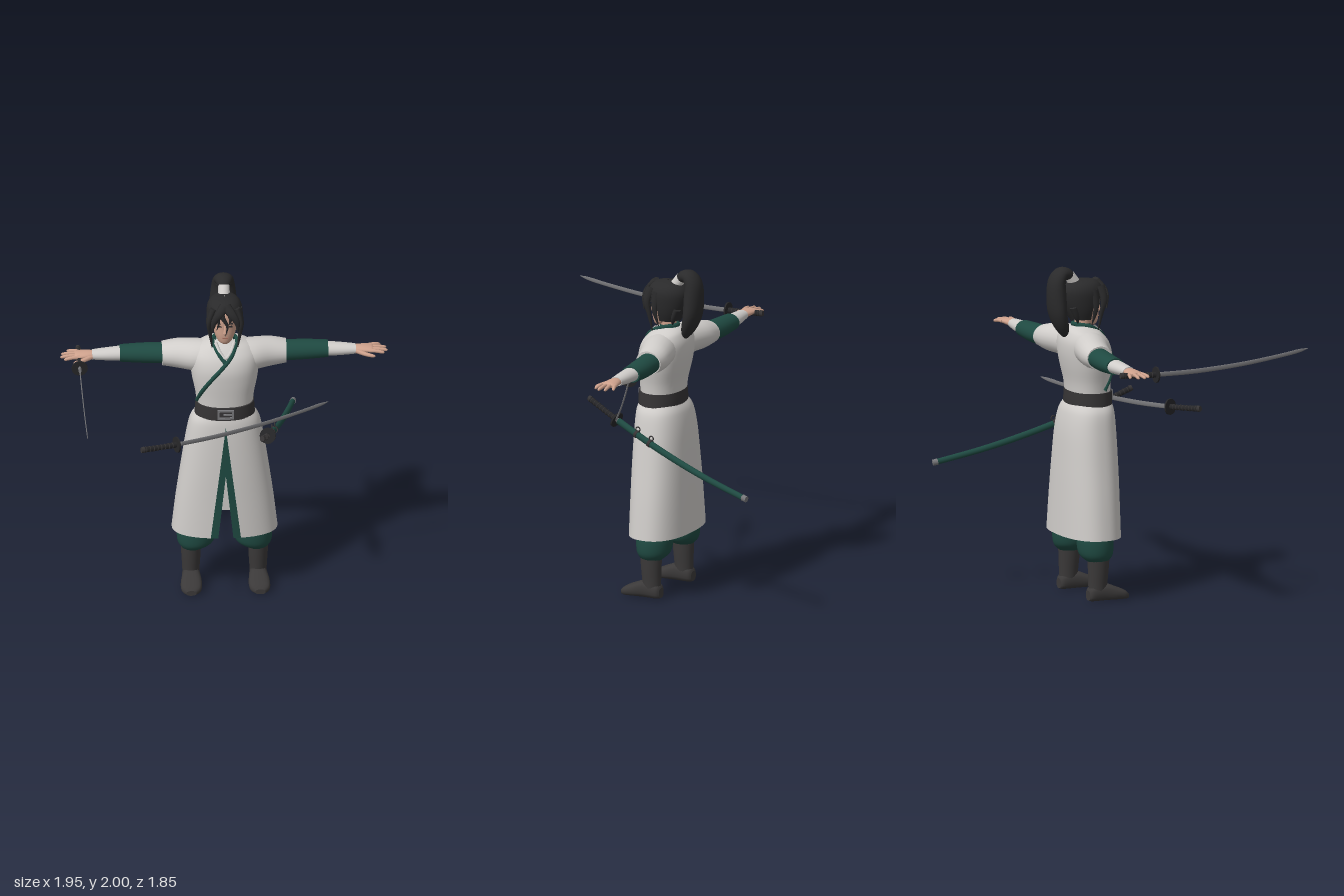
import * as THREE from 'three';

const mat = (name, color, side = THREE.FrontSide) => {
  const m = new THREE.MeshStandardMaterial({ color, side });
  m.name = name;
  return m;
};
const V3 = (x, y, z) => new THREE.Vector3(x, y, z);
const X = V3(1, 0, 0), Y = V3(0, 1, 0), Z = V3(0, 0, 1);

// Smoothly subdivides rows of numbers
function spline(rows, sub) {
  const out = [], at = i => rows[Math.max(0, Math.min(rows.length - 1, i))];
  for (let i = 0; i < rows.length - 1; i++) for (let k = 0; k < sub; k++) {
    const t = k / sub;
    out.push(rows[i].map((b, c) => {
      const a = at(i - 1)[c], d = at(i + 1)[c], e = at(i + 2)[c];
      return 0.5 * (2 * b + (d - a) * t + (2 * a - 5 * b + 4 * d - e) * t * t + (3 * b - a - 3 * d + e) * t ** 3);
    }));
  }
  out.push(rows[rows.length - 1]);
  return out;
}

// Skins sections [x, y, z, ru, rv]; rv lies along ref, ru across it; arc leaves the ring open
function sweep(secs, { ref = X, dir, n = 20, sub = 4, pow = 2, arc } = {}) {
  const rows = spline(secs, sub), pos = [], idx = [];
  const pw = v => Math.sign(v) * Math.abs(v) ** (2 / pow);
  const cols = arc ? n + 1 : n, P = rows.map(r => V3(r[0], r[1], r[2]));
  rows.forEach((r, i) => {
    const T = dir || P[Math.min(i + 1, P.length - 1)].clone().sub(P[Math.max(i - 1, 0)]).normalize();
    const U = ref.clone().cross(T).normalize(), V = T.clone().cross(U);
    const [a0, a1] = arc ? arc(r) : [0, Math.PI * 2];
    for (let j = 0; j < cols; j++) {
      const t = a0 + (a1 - a0) * j / n;
      const p = P[i].clone().addScaledVector(U, Math.max(r[3], 0.0005) * pw(Math.cos(t)))
        .addScaledVector(V, Math.max(r[4], 0.0005) * pw(Math.sin(t)));
      pos.push(p.x, p.y, p.z);
    }
  });
  for (let i = 0; i < rows.length - 1; i++) for (let j = 0; j < n; j++) {
    const a = i * cols + j, b = i * cols + (j + 1) % cols;
    idx.push(a, b, b + cols, a, b + cols, a + cols);
  }
  // End caps on closed rings
  if (!arc) for (const i of [0, rows.length - 1]) {
    const base = pos.length / 3;
    pos.push(...pos.slice(i * n * 3, (i + 1) * n * 3), P[i].x, P[i].y, P[i].z);
    for (let j = 0; j < n; j++) {
      const a = base + j, b = base + (j + 1) % n;
      idx.push(base + n, i ? a : b, i ? b : a);
    }
  }
  const g = new THREE.BufferGeometry();
  g.setAttribute('position', new THREE.Float32BufferAttribute(pos, 3));
  g.setIndex(idx);
  g.computeVertexNormals();
  return g;
}

// Upright section from height, half width, front z and back z
const level = (y, rx, zf, zb) => [0, y, (zf + zb) / 2, (zf - zb) / 2, rx];

export function createModel() {
  const root = new THREE.Group();
  root.name = 'swordsman';
  const white = mat('white cloth', 0xd0cdca, THREE.DoubleSide), green = mat('green cloth', 0x1f4a42, THREE.DoubleSide);
  const skin = mat('skin', 0xcfa28d), hair = mat('black hair', 0x2a2a2b, THREE.DoubleSide);
  const leather = mat('boot leather', 0x3b3939), beltDark = mat('belt leather', 0x363435);
  const steel = mat('steel', 0x77777a), grip = mat('grip wrap', 0x262628), lip = mat('lips', 0xa8705f);
  const add = (name, geo, m, parent = root) => {
    const o = new THREE.Mesh(geo, m);
    o.name = name;
    parent.add(o);
    return o;
  };
  const box = (name, w, h, d, x, y, z, m) => add(name, new THREE.BoxGeometry(w, h, d), m).position.set(x, y, z);
  const tube = (name, pts, r, m) => add(name, new THREE.TubeGeometry(new THREE.CatmullRomCurve3(pts), 48, r, 8), m);

  // Upper robe
  const torso = [level(1.2, 0.165, 0, -0.24), level(1.3, 0.175, 0.005, -0.25), level(1.4, 0.195, 0.01, -0.272),
    level(1.48, 0.203, 0.008, -0.285), level(1.55, 0.2, -0.015, -0.285), level(1.6, 0.165, -0.055, -0.268),
    level(1.625, 0.11, -0.085, -0.25), level(1.64, 0.07, -0.1, -0.225)];
  add('robeTop', sweep(torso, { dir: Y, n: 40, pow: 2.2 }), white);
  const rows = spline(torso, 4);
  const onChest = (x, y) => {
    const i = Math.max(1, rows.findIndex(r => r[1] >= y)), a = rows[i - 1], b = rows[i];
    const t = (y - a[1]) / (b[1] - a[1]), [, , zc, rz, rx] = a.map((v, k) => v + (b[k] - v) * t);
    return V3(x, y, zc + rz * Math.max(0, 1 - (Math.abs(x) / rx) ** 2.2) ** (1 / 2.2) - 0.002);
  };
  // Crossed lapels and collar
  const lapel = [[-0.165, 1.26], [-0.135, 1.35], [-0.08, 1.44], [-0.02, 1.51], [0.03, 1.565]].map(p => onChest(...p));
  tube('longLapel', [...lapel, V3(0.062, 1.615, -0.085), V3(0.072, 1.64, -0.14), V3(0, 1.65, -0.215),
    V3(-0.072, 1.64, -0.14), V3(-0.06, 1.61, -0.085), onChest(-0.03, 1.575), onChest(0, 1.54)], 0.013, green);
  tube('innerCollar', [V3(0.055, 1.635, -0.1), onChest(0.03, 1.59), onChest(0, 1.565), onChest(-0.03, 1.59),
    V3(-0.055, 1.635, -0.1)], 0.011, white);
  add('standingCollar', sweep([level(1.6, 0.078, -0.1, -0.235), level(1.655, 0.062, -0.1, -0.215)],
    { dir: Y, arc: () => [0.9, Math.PI * 2 - 0.9] }), green);

  // Skirt, split at the front with green trim
  const skirt = [level(0.38, 0.315, 0.032, -0.32), level(0.6, 0.29, 0.031, -0.313), level(0.8, 0.262, 0.03, -0.305),
    level(1.0, 0.232, 0.025, -0.293), level(1.12, 0.207, 0.018, -0.272), level(1.175, 0.172, 0.008, -0.245)];
  const ang = (r, x) => Math.asin((Math.max(0, x) / r[4]) ** 1.2);
  const outer = r => ang(r, 0.09 * (1.12 - r[1]) / 0.74), inner = r => ang(r, 0.045 * (0.8 - r[1]) / 0.42);
  const cloth = (name, arc, n, m) => add(name, sweep(skirt, { dir: Y, n, sub: 8, pow: 2.4, arc }), m);
  cloth('skirt', r => [outer(r), Math.PI * 2 - outer(r)], 64, white);
  cloth('skirtTrimLeft', r => [inner(r), outer(r)], 3, green);
  cloth('skirtTrimRight', r => [-outer(r), -inner(r)], 3, green);

  // Belt and buckle
  add('belt', sweep([level(1.165, 0.18, 0.014, -0.25), level(1.205, 0.177, 0.014, -0.249), level(1.247, 0.174, 0.012, -0.246)],
    { dir: Y, n: 40, pow: 2.2 }), beltDark);
  const frame = new THREE.Shape([[-0.05, -0.03], [0.05, -0.03], [0.05, 0.03], [-0.05, 0.03]].map(p => new THREE.Vector2(...p)));
  frame.holes.push(new THREE.Path([[-0.037, -0.019], [-0.037, 0.019], [0.037, 0.019], [0.037, -0.019]].map(p => new THREE.Vector2(...p))));
  add('buckle', new THREE.ExtrudeGeometry(frame, { depth: 0.012, bevelEnabled: false }), steel).position.set(0, 1.208, 0.012);
  box('buckleTongue', 0.05, 0.008, 0.01, 0.012, 1.208, 0.018, steel);

  // Arms, hands and legs
  for (const s of [1, -1]) {
    const side = s > 0 ? 'left' : 'right';
    const limb = (name, secs, m, opt = {}) => add(side + name, sweep(secs.map(([x, ...r]) => [x * s, ...r]), opt), m);
    const along = { ref: Z, dir: V3(s, 0, 0), n: 24 };
    limb('Sleeve', [[0.08, 1.52, -0.155, 0.1, 0.1], [0.18, 1.52, -0.175, 0.095, 0.108], [0.28, 1.516, -0.205, 0.086, 0.097],
      [0.37, 1.51, -0.217, 0.07, 0.083]], white, along);
    limb('UnderSleeve', [[0.34, 1.51, -0.22, 0.06, 0.072], [0.48, 1.507, -0.232, 0.059, 0.068], [0.62, 1.507, -0.235, 0.05, 0.06]], green, along);
    limb('ForearmWrap', [[0.6, 1.507, -0.235, 0.043, 0.054], [0.7, 1.506, -0.23, 0.037, 0.047], [0.785, 1.506, -0.226, 0.029, 0.038]], white, along);
    limb('Palm', [[0.77, 1.506, -0.226, 0.023, 0.032], [0.82, 1.508, -0.226, 0.022, 0.042], [0.875, 1.508, -0.226, 0.016, 0.046],
      [0.89, 1.508, -0.226, 0.008, 0.04]], skin, along);
    [[-0.264, 0.935, -0.284], [-0.239, 0.968, -0.246], [-0.213, 0.975, -0.208], [-0.189, 0.955, -0.177]].forEach(([z, x, z2], i) =>
      limb('Finger' + (i + 1), [[0.86, 1.508, z, 0.011, 0.012], [(x + 0.86) / 2, 1.508, (z + z2) / 2, 0.011, 0.011],
        [x - 0.01, 1.502, z2, 0.009, 0.009], [x, 1.501, z2, 0.002, 0.002]], skin, { ref: Z, n: 8 }));
    limb('Thumb', [[0.79, 1.503, -0.2, 0.015, 0.015], [0.84, 1.497, -0.168, 0.013, 0.013], [0.885, 1.493, -0.151, 0.01, 0.01],
      [0.9, 1.492, -0.148, 0.002, 0.002]], skin, { ref: Z, n: 8 });
    limb('Trouser', [[0.195, 0.24, -0.145, 0.065, 0.06], [0.175, 0.275, -0.148, 0.098, 0.104], [0.168, 0.33, -0.15, 0.108, 0.116],
      [0.165, 0.4, -0.15, 0.105, 0.11], [0.14, 0.6, -0.14, 0.09, 0.1], [0.1, 0.95, -0.13, 0.09, 0.09]], green, { dir: Y, n: 24 });
    limb('BootShaft', [[0.2, 0.03, -0.15, 0.055, 0.05], [0.2, 0.1, -0.148, 0.058, 0.052], [0.2, 0.18, -0.145, 0.063, 0.057],
      [0.2, 0.265, -0.143, 0.068, 0.06]], leather, { dir: Y });
    limb('BootFoot', [[0.2, 0.035, -0.212, 0.03, 0.03], [0.2, 0.045, -0.19, 0.045, 0.048], [0.2, 0.052, -0.11, 0.052, 0.055],
      [0.202, 0.04, -0.04, 0.04, 0.064], [0.204, 0.028, 0.015, 0.028, 0.058], [0.205, 0.018, 0.043, 0.016, 0.03]], leather, { dir: Z, pow: 2.6 });
    // Face details and side hair
    add(side + 'Ear', new THREE.SphereGeometry(0.022, 12, 8).scale(0.5, 1.2, 0.8), skin).position.set(s * 0.078, 1.745, -0.145);
    box(side + 'Eye', 0.022, 0.007, 0.008, s * 0.031, 1.765, -0.058, grip);
    box(side + 'Brow', 0.03, 0.005, 0.008, s * 0.032, 1.784, -0.058, hair);
    const lock = (name, ...pts) => limb(name, pts, hair, { n: 8 });
    lock('SideLock', [0.07, 1.88, -0.07, 0.03, 0.02], [0.097, 1.8, -0.055, 0.022, 0.014], [0.09, 1.72, -0.07, 0.014, 0.012], [0.076, 1.61, -0.085, 0.003, 0.003]);
    lock('EarLock', [0.085, 1.86, -0.12, 0.03, 0.02], [0.101, 1.78, -0.11, 0.02, 0.01], [0.096, 1.72, -0.115, 0.014, 0.009], [0.082, 1.65, -0.13, 0.002, 0.002]);
    lock('Fringe', [0.005, 1.9, -0.06, 0.02, 0.03], [0.038, 1.86, -0.03, 0.014, 0.026], [0.068, 1.81, -0.025, 0.012, 0.018], [0.078, 1.74, -0.03, 0.002, 0.003]);
    lock('NapeLock', [0.05, 1.76, -0.24, 0.02, 0.035], [0.05, 1.7, -0.215, 0.015, 0.025], [0.035, 1.655, -0.2, 0.002, 0.004]);
  }

  // Neck and head
  add('neck', sweep([level(1.56, 0.06, -0.1, -0.21), level(1.62, 0.047, -0.105, -0.2), level(1.7, 0.047, -0.1, -0.2)], { dir: Y }), skin);
  add('head', sweep([level(1.637, 0.018, -0.075, -0.115), level(1.655, 0.042, -0.06, -0.15), level(1.7, 0.064, -0.052, -0.2),
    level(1.75, 0.073, -0.051, -0.23), level(1.8, 0.078, -0.048, -0.245), level(1.85, 0.074, -0.055, -0.24),
    level(1.89, 0.05, -0.09, -0.21)], { dir: Y, n: 28 }), skin);
  add('nose', sweep([[0, 1.775, -0.056, 0.008, 0.008], [0, 1.74, -0.048, 0.011, 0.01], [0, 1.722, -0.047, 0.012, 0.014],
    [0, 1.713, -0.053, 0.004, 0.006]], { n: 10 }), skin);
  box('mouth', 0.032, 0.007, 0.008, 0, 1.688, -0.055, lip);

  // Hair cap, forehead strands and ponytail
  add('hairCap', sweep([level(1.68, 0.075, -0.07, -0.225), level(1.73, 0.092, -0.05, -0.25), level(1.79, 0.103, -0.03, -0.272),
    level(1.85, 0.105, -0.025, -0.28), level(1.89, 0.088, -0.045, -0.262), level(1.912, 0.055, -0.08, -0.225),
    level(1.922, 0.004, -0.145, -0.155)], { dir: Y, n: 36, arc: r => {
    const open = 1.35 * Math.min(1, Math.max(0, (1.875 - r[1]) / 0.1));
    return [open, Math.PI * 2 - open];
  } }), hair);
  [[-0.02, 0.012, 1.71], [0.03, 0.03, 1.78], [-0.045, -0.04, 1.75]].forEach(([x, x2, y], i) =>
    add('strand' + (i + 1), sweep([[x * 0.4, 1.895, -0.06, 0.012, 0.02], [x, 1.85, -0.03, 0.01, 0.016],
      [x2, (1.85 + y) / 2, -0.03, 0.005, 0.008], [x2 - 0.012, y, -0.038, 0.001, 0.001]], { n: 8 }), hair));
  add('hairTie', sweep([[0, 1.89, -0.2, 0.036, 0.036], [0, 1.948, -0.24, 0.033, 0.034]], { sub: 1 }), white);
  add('ponytail', sweep([[0, 1.935, -0.23, 0.03, 0.03], [0, 1.957, -0.258, 0.036, 0.046], [0, 1.957, -0.295, 0.042, 0.06],
    [0, 1.91, -0.322, 0.05, 0.07], [0, 1.82, -0.324, 0.055, 0.08], [0, 1.72, -0.315, 0.05, 0.084],
    [0, 1.63, -0.285, 0.036, 0.06], [0, 1.555, -0.252, 0.004, 0.008]], { n: 24, sub: 5 }), hair);

  // Curved sword from pommel to tip, drawn or in its scabbard
  function sword(name, start, end, sheathed) {
    const g = new THREE.Group();
    g.name = name;
    root.add(g);
    const L = start.distanceTo(end), dir = end.clone().sub(start).normalize();
    const right = dir.clone().cross(Y).normalize(), up = right.clone().cross(dir);
    const at = s => start.clone().addScaledVector(dir, s).addScaledVector(up, -0.16 * (s / L) * (1 - s / L));
    const part = (n, secs, m, opt = {}) => add(n, sweep(secs.map(([s, ru, rv]) => [...at(s).toArray(), ru, rv]), { ref: right, n: 12, ...opt }), m, g);
    const ring = (n, s, geo, m, axis) => {
      const o = add(n, geo, m, g);
      o.position.copy(at(s));
      o.quaternion.setFromUnitVectors(axis, at(s + 0.01).sub(at(s - 0.01)).normalize());
    };
    part('grip', [[0.01, 0.018, 0.015], [0.08, 0.017, 0.014], [0.15, 0.016, 0.014], [0.23, 0.018, 0.015]], grip);
    for (let i = 0; i < 8; i++) ring('gripWrap', 0.03 + i * 0.025, new THREE.TorusGeometry(0.0155, 0.003, 6, 16), beltDark, Z);
    part('pommel', [[0, 0.017, 0.014], [0.018, 0.02, 0.017]], beltDark, { sub: 1 });
    ring('guard', 0.235, new THREE.CylinderGeometry(0.048, 0.048, 0.01, 28), grip, Y);
    part('collar', [[0.238, 0.017, 0.01], [0.265, 0.016, 0.009]], steel, { sub: 1 });
    if (sheathed) {
      part('scabbard', [[0.25, 0.021, 0.018], [0.5, 0.02, 0.017], [0.75, 0.02, 0.017], [1.0, 0.019, 0.017], [L - 0.015, 0.018, 0.016]], green);
      part('scabbardTip', [[L - 0.03, 0.02, 0.018], [L, 0.019, 0.017]], steel, { sub: 1 });
      for (const s of [0.4, 0.51]) {
        ring('hangerBand', s, new THREE.CylinderGeometry(0.023, 0.023, 0.018, 16), beltDark, Y);
        const loop = add('hangerLoop', new THREE.TorusGeometry(0.014, 0.004, 6, 16).rotateY(Math.PI / 2), beltDark, g);
        loop.position.copy(at(s)).addScaledVector(up, 0.034);
      }
    } else part('blade', [[0.24, 0.014, 0.0035], [0.5, 0.0145, 0.0035], [0.8, 0.0135, 0.003], [1.05, 0.012, 0.003],
      [L - 0.06, 0.011, 0.0025], [L, 0.001, 0.001]], steel, { n: 8 });
  }
  sword('heldSword', V3(-0.865, 1.505, -0.32), V3(-0.865, 1.56, 0.92));
  sword('floatingSword', V3(-0.52, 1.177, 0.375), V3(0.62, 1.203, -0.13));
  sword('sheathedSword', V3(0.205, 1.18, 0.275), V3(0.447, 0.785, -0.925), true);
  return root;
}
